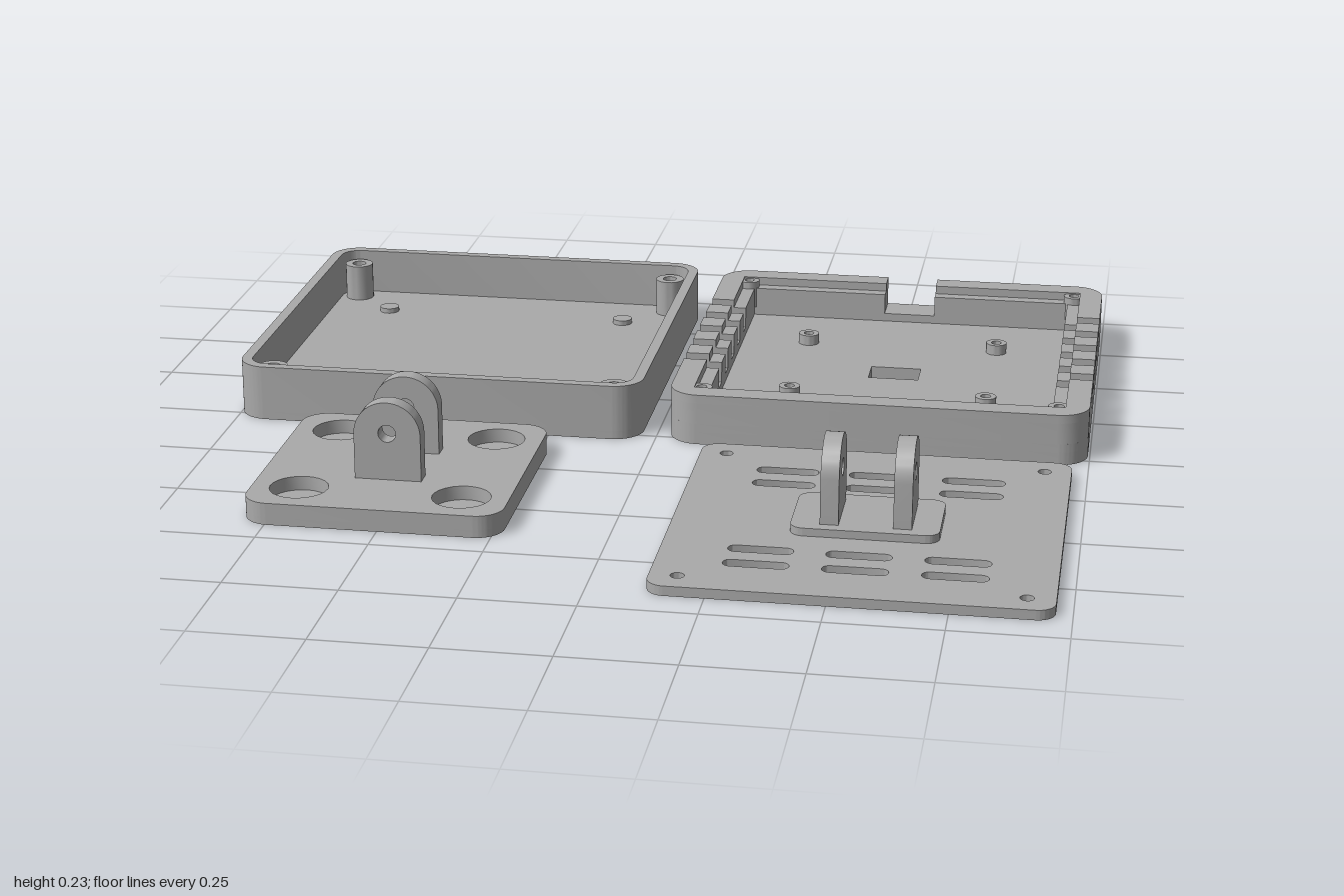
import * as THREE from 'three';
import { toCreasedNormals } from 'three/addons/utils/BufferGeometryUtils.js';

const grey = new THREE.MeshStandardMaterial({ color: 0xaaaaaa });
grey.name = 'grey plastic';

// Rounded rectangle; shape y points to the back (-z)
function roundRect(w, d, r, cx = 0, cy = 0, Type = THREE.Shape) {
  const s = new Type(), x = w / 2 - r, y = d / 2 - r;
  s.absarc(cx + x, cy + y, r, 0, Math.PI / 2);
  s.absarc(cx - x, cy + y, r, Math.PI / 2, Math.PI);
  s.absarc(cx - x, cy - y, r, Math.PI, Math.PI * 1.5);
  s.absarc(cx + x, cy - y, r, Math.PI * 1.5, Math.PI * 2);
  s.closePath();
  return s;
}

function rect(w, d, cx = 0, cy = 0, Type = THREE.Path) {
  const a = w / 2, b = d / 2;
  return new Type([[-a, -b], [a, -b], [a, b], [-a, b]].map(([x, y]) => new THREE.Vector2(cx + x, cy + y)));
}

const circle = (x, y, r, Type = THREE.Path) => new Type().absarc(x, y, r, 0, Math.PI * 2);
const corners = (a, b = a) => [[-a, -b], [a, -b], [a, b], [-a, b]];

function extrude(shape, depth) {
  const g = new THREE.ExtrudeGeometry(shape, { depth, bevelEnabled: false, curveSegments: 12 });
  return toCreasedNormals(g, 0.6);
}

// Horizontal layer between heights y0 and y1
function slab(parent, name, shape, y0, y1, holes = []) {
  shape.holes.push(...holes);
  const m = new THREE.Mesh(extrude(shape, y1 - y0).rotateX(-Math.PI / 2), grey);
  m.position.y = y0;
  m.name = name;
  parent.add(m);
  return m;
}

// Upright round-topped ear with a pivot hole, facing z
function lug(parent, name, width, y0, top, thick, holeY) {
  const r = width / 2, s = new THREE.Shape();
  s.moveTo(-r, y0);
  s.lineTo(r, y0);
  s.absarc(0, top - r, r, 0, Math.PI);
  s.closePath();
  s.holes.push(circle(0, holeY, 0.02));
  const m = new THREE.Mesh(extrude(s, thick).translate(0, 0, -thick / 2), grey);
  m.name = name;
  parent.add(m);
  return m;
}

function group(parent, name, x, z) {
  const g = new THREE.Group();
  g.name = name;
  g.position.set(x, 0, z);
  parent.add(g);
  return g;
}

const SIZE = 0.965, H = SIZE / 2, R = 0.07;

function buildCover(root) {
  const g = group(root, 'cover', -0.517, -0.447);
  slab(g, 'coverUnderside', roundRect(SIZE, SIZE, R), 0, 0.005, [rect(0.31, 0.31)]);
  slab(g, 'coverFloor', roundRect(SIZE, SIZE, R), 0.005, 0.02);
  slab(g, 'coverWall', roundRect(SIZE, SIZE, R), 0.02, 0.13,
    [roundRect(SIZE - 0.05, SIZE - 0.05, R - 0.025, 0, 0, THREE.Path)]);
  for (const [x, y] of corners(H - 0.072)) {
    slab(g, 'screwPost', circle(x, y, 0.035, THREE.Shape), 0.02, 0.11, [circle(x, y, 0.017)]);
  }
  for (const [x, y] of corners(0.305)) {
    slab(g, 'floorStud', circle(x, y, 0.024, THREE.Shape), 0.02, 0.032);
  }
}

// Quarter of the slotted wall: from n beside the centre line round to the first slot
function wallQuarter(mx, my, n, t, slotEdge) {
  const s = new THREE.Shape(), p = (x, y) => s.lineTo(mx * x, my * y);
  s.moveTo(mx * n, my * H);
  for (let i = 0; i <= 10; i++) {
    const a = (1 - i / 10) * Math.PI / 2;
    p(H - R + R * Math.cos(a), H - R + R * Math.sin(a));
  }
  p(H, slotEdge);
  p(H - t, slotEdge);
  p(H - t, H - t);
  p(n, H - t);
  s.closePath();
  return s;
}

function buildCase(root) {
  const g = group(root, 'ventedCase', 0.513, -0.447);
  const pin = H - 0.07, pitch = 0.105, slot = 0.0215, ledge = 0.085, rim = 0.055;
  const pins = () => corners(pin).map(([x, y]) => circle(x, y, 0.012));
  slab(g, 'caseFloor', roundRect(SIZE, SIZE, R), 0, 0.03, [...pins(), rect(0.12, 0.08)]);
  slab(g, 'lowerWall', roundRect(SIZE, SIZE, R), 0.03, 0.05,
    [rect(SIZE - 2 * ledge, SIZE - 2 * ledge), ...pins()]);

  // Slotted wall: a wide lower step and a narrower rim
  for (const [t, y0, y1] of [[ledge, 0.05, 0.1], [rim, 0.1, 0.12]]) {
    for (const mx of [-1, 1]) {
      for (const my of [-1, 1]) {
        const holes = t === ledge ? [circle(mx * pin, my * pin, 0.012)] : [];
        slab(g, 'slottedWall', wallQuarter(mx, my, my > 0 ? 0.063 : 0, t, 2 * pitch + slot), y0, y1, holes);
      }
      for (let i = -1.5; i < 2; i++) {
        slab(g, 'wallTooth', rect(t, pitch - 2 * slot, mx * (H - t / 2), i * pitch, THREE.Shape), y0, y1);
      }
    }
  }
  for (const [x, y] of corners(pin)) {
    slab(g, 'screwBoss', circle(x, y, 0.025, THREE.Shape), 0.05, 0.117, [circle(x, y, 0.012)]);
  }
  for (const [x, y] of corners(0.233, 0.198)) {
    slab(g, 'standoff', circle(x, y, 0.025, THREE.Shape), 0.03, 0.055, [circle(x, y, 0.012)]);
  }
}

function buildWallMount(root) {
  const g = group(root, 'wallMount', -0.517, 0.39);
  const keyhole = () => {
    const k = new THREE.Path();
    k.absarc(0, 0.2, 0.031, Math.PI * 0.67, Math.PI * 2.33);
    k.absarc(0, 0.24, 0.0155, 0, Math.PI);
    k.closePath();
    return k;
  };
  slab(g, 'mountBase', roundRect(0.575, 0.575, 0.06), 0, 0.018, [keyhole()]);
  slab(g, 'mountTop', roundRect(0.575, 0.575, 0.06), 0.018, 0.05,
    [keyhole(), ...corners(0.182).map(([x, y]) => circle(x, y, 0.065))]);
  for (const z of [-0.085, 0.088]) {
    lug(g, 'mountLug', 0.15, 0.05, 0.23, 0.04, 0.158).position.z = z;
  }
}

function buildBackPlate(root) {
  const g = group(root, 'backPlate', 0.545, 0.5);
  const holes = corners(0.36).map(([x, y]) => circle(x, y, 0.015));
  for (const x of [-0.208, 0, 0.208]) {
    for (const y of [-0.275, -0.195, 0.19, 0.27]) {
      holes.push(roundRect(0.14, 0.036, 0.0175, x, y, THREE.Path));
    }
  }
  slab(g, 'ventedPlate', roundRect(0.84, 0.84, 0.04), 0, 0.022, holes);
  slab(g, 'pivotPad', roundRect(0.32, 0.21, 0.03), 0.022, 0.04);
  for (const x of [-0.077, 0.08]) {
    const m = lug(g, 'plateLug', 0.155, 0.04, 0.22, 0.04, 0.145);
    m.rotation.y = Math.PI / 2;
    m.position.x = x;
  }
}

export function createModel() {
  const root = new THREE.Group();
  root.name = 'enclosureKit';
  buildCover(root);
  buildCase(root);
  buildWallMount(root);
  buildBackPlate(root);
  return root;
}
